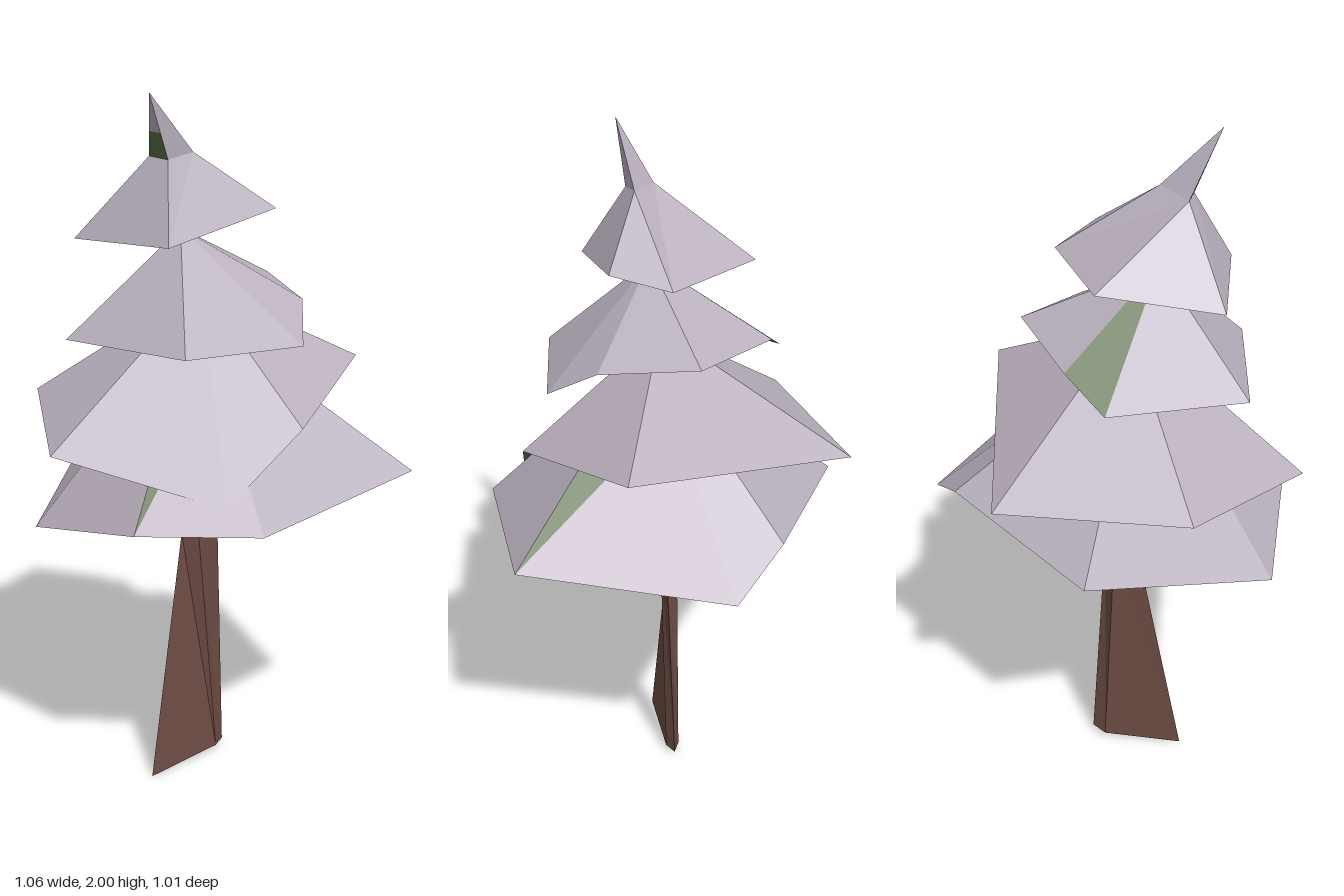
import * as THREE from 'three';

const snow = new THREE.MeshStandardMaterial({ color: 0xbab0be });
snow.name = 'snow';
const needles = new THREE.MeshStandardMaterial({ color: 0x5b704a });
needles.name = 'needle green';
const bark = new THREE.MeshStandardMaterial({ color: 0x6d4c44 });
bark.name = 'bark brown';

const lerp = (a, b, t) => a.map((v, i) => v + (b[i] - v) * t);

// Flat-shaded mesh from a list of triangles
function facets(name, triangles, material) {
  const geometry = new THREE.BufferGeometry();
  geometry.setAttribute('position', new THREE.Float32BufferAttribute(triangles.flat(2), 3));
  geometry.computeVertexNormals();
  const mesh = new THREE.Mesh(geometry, material);
  mesh.name = name;
  return mesh;
}

// One skirt of branches: snowy top, green underside, and bare green wedges.
// rim runs anticlockwise from above; tops holds the upper point of each rim point;
// bare maps a rim index to the share of its face left without snow.
function branchTier(name, rim, tops, bare = {}) {
  const white = [], green = [];
  const n = rim.length;
  const under = lerp(tops[0], tops[Math.floor(n / 2)], 0.5);
  under[1] -= 0.025;
  rim.forEach((p, i) => {
    const j = (i + 1) % n, q = rim[j], a = tops[i], b = tops[j];
    if (bare[i]) {
      const m = lerp(a, q, bare[i]);
      green.push([p, m, a]);
      if (bare[i] < 1) white.push([p, q, m]);
    } else {
      white.push([p, q, b]);
      if (a !== b) white.push([p, b, a]);
    }
    green.push([q, p, under]);
  });
  const group = new THREE.Group();
  group.name = name;
  if (white.length) group.add(facets(name + 'Snow', white, snow));
  group.add(facets(name + 'Needles', green, needles));
  return group;
}

// Crooked trunk lofted through four-sided rings
function trunk() {
  const rings = [
    [[-0.205, 0.005, 0.125], [-0.01, 0.023, -0.02], [0.01, 0.025, -0.06], [-0.04, 0.02, -0.05]],
    [[-0.11, 0.75, 0.02], [-0.06, 0.74, 0.025], [-0.005, 0.78, -0.02], [-0.06, 0.76, -0.03]],
    [[-0.105, 1.05, 0.045], [-0.06, 1.05, 0.05], [-0.02, 1.05, 0], [-0.06, 1.05, -0.015]],
    [[-0.13, 1.8, 0.1], [-0.12, 1.8, 0.11], [-0.11, 1.8, 0.1], [-0.12, 1.8, 0.09]],
  ];
  const triangles = [];
  for (let r = 0; r < rings.length - 1; r++) {
    for (let i = 0; i < 4; i++) {
      const j = (i + 1) % 4, lo = rings[r], hi = rings[r + 1];
      triangles.push([lo[i], lo[j], hi[i]], [lo[j], hi[j], hi[i]]);
    }
  }
  const [a, b, c, d] = rings[0];
  triangles.push([a, c, b], [a, d, c]);
  return facets('trunk', triangles, bark);
}

export function createModel() {
  const tree = new THREE.Group();
  tree.name = 'snowyTree';
  tree.add(trunk());

  const single = (rim, apex) => rim.map(() => apex);

  const low = [
    [0.53, 0.985, 0.165], [0.33, 0.925, -0.385], [0.14, 1.02, -0.435], [-0.385, 0.97, -0.38],
    [-0.515, 0.83, 0.165], [-0.23, 0.92, 0.475], [0.1, 0.925, 0.505],
  ];
  tree.add(branchTier('lowestBranches', low, single(low, [-0.06, 1.41, 0.05]), { 0: 0.25, 5: 0.3 }));

  const middle = [
    [-0.45, 1.085, 0.32], [0.007, 0.98, 0.447], [0.21, 1.155, 0.32],
    [0.4, 1.25, -0.105], [-0.17, 1.145, -0.51], [-0.53, 1.145, -0.145],
  ];
  tree.add(branchTier('middleBranches', middle, single(middle, [-0.05, 1.48, 0.02])));

  const upper = [
    [-0.415, 1.355, 0.135], [-0.095, 1.36, 0.4], [0.215, 1.355, 0.23], [0.225, 1.45, 0.07],
    [0.145, 1.48, -0.19], [-0.155, 1.46, -0.265], [-0.29, 1.385, -0.24],
  ];
  tree.add(branchTier('upperBranches', upper, single(upper, [-0.105, 1.645, 0.08]), { 5: 1 }));

  // Top skirt closes on a small triangle that carries the leaning tip
  const a = [-0.185, 1.835, 0.105], b = [-0.07, 1.845, 0.105], c = [-0.135, 1.83, 0.165];
  const top = [
    [-0.39, 1.615, 0.06], [-0.135, 1.625, 0.305], [0.15, 1.695, 0.07],
    [0.115, 1.665, -0.095], [-0.19, 1.665, -0.195],
  ];
  tree.add(branchTier('topBranches', top, [a, c, b, b, a]));

  const peak = [-0.18, 2, 0.215];
  const ma = lerp(a, peak, 0.4), mc = lerp(c, peak, 0.4);
  tree.add(facets('tip', [[c, b, peak], [b, a, peak], [ma, mc, peak]], snow));
  tree.add(facets('tipNeedles', [[a, c, mc], [a, mc, ma]], needles));
  return tree;
}
